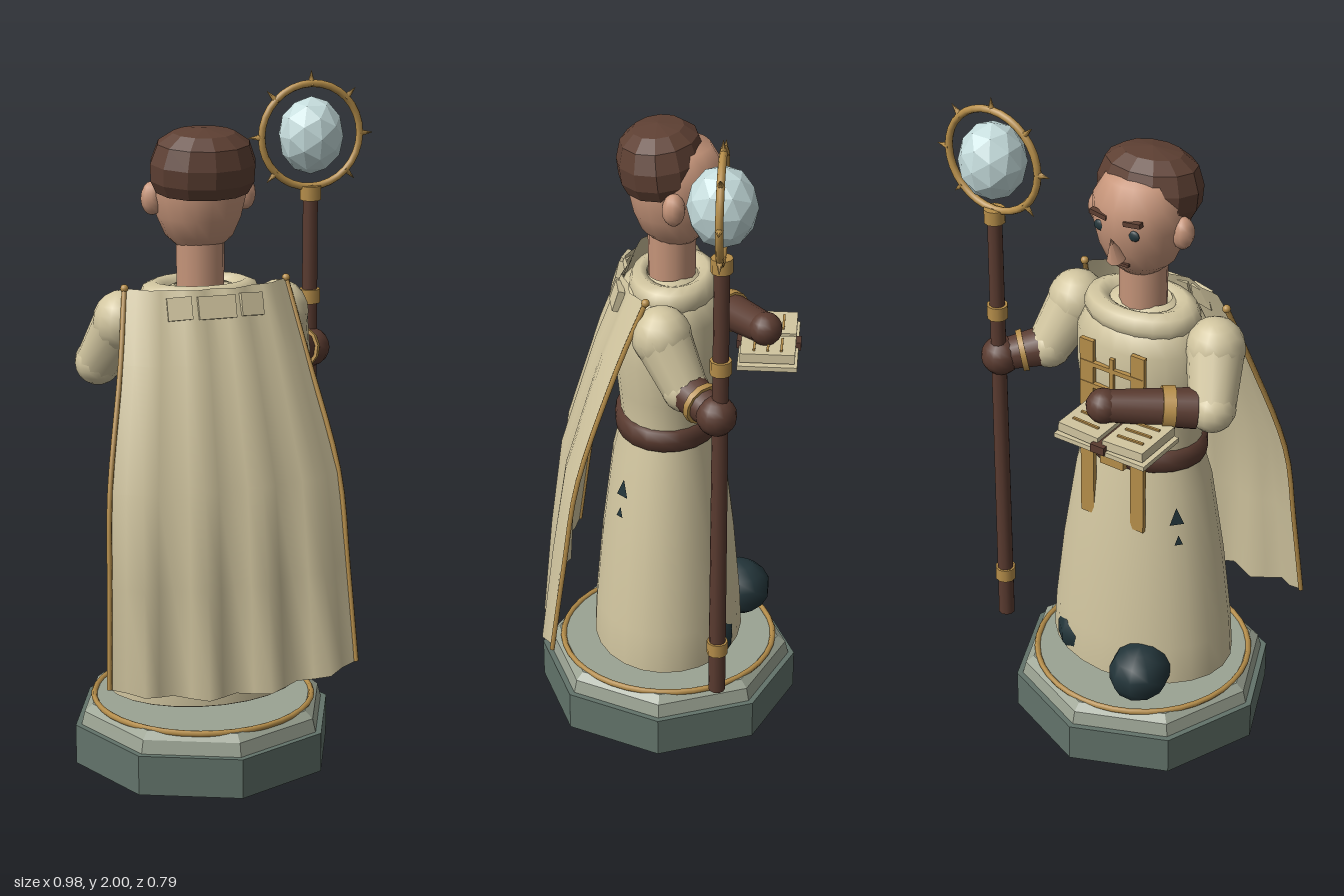
import * as THREE from 'three';

const mat = (name, color, extra = {}) => {
  const m = new THREE.MeshStandardMaterial({ color, ...extra });
  m.name = name;
  return m;
};

export function createModel() {
  const flat = { flatShading: true };
  const cloth = mat('cream cloth', 0xd2c6a0, { side: THREE.DoubleSide });
  const leather = mat('brown leather', 0x5a3b30);
  const hairMat = mat('brown hair', 0x5e4033, flat);
  const gold = mat('gold', 0xb68e4a);
  const skin = mat('skin', 0xc6957a);
  const dark = mat('dark teal', 0x23353a, { side: THREE.DoubleSide });
  const stoneDark = mat('dark stone', 0x62736a, flat);
  const stoneLight = mat('light stone', 0x9ba393, flat);
  const glass = mat('pale orb', 0xc5dcdc, flat);

  const model = new THREE.Group();
  const figure = new THREE.Group();
  figure.name = 'figure';
  figure.position.x = -0.1;
  model.add(figure);

  const add = (name, geo, m, x = 0, y = 0, z = 0, parent = figure) => {
    const mesh = new THREE.Mesh(geo, m);
    mesh.name = name;
    mesh.position.set(x, y, z);
    parent.add(mesh);
    return mesh;
  };
  const lathe = (pts, n) => new THREE.LatheGeometry(pts.map(p => new THREE.Vector2(...p)), n);
  const ball = (name, m, r, x, y, z, sx = 1, sy = 1, sz = 1, w = 14, h = 10) => {
    const b = add(name, new THREE.SphereGeometry(r, w, h), m, x, y, z);
    b.scale.set(sx, sy, sz);
    return b;
  };
  // Tapered cylinder from point a to point b
  const limb = (name, m, a, b, ra, rb, n = 12) => {
    const A = new THREE.Vector3(...a), B = new THREE.Vector3(...b);
    const d = B.clone().sub(A);
    const mesh = add(name, new THREE.CylinderGeometry(rb, ra, d.length(), n), m);
    mesh.position.copy(A).lerp(B, 0.5);
    mesh.quaternion.setFromUnitVectors(new THREE.Vector3(0, 1, 0), d.normalize());
    return mesh;
  };
  const mix = (a, b, t) => a.map((v, i) => v + (b[i] - v) * t);

  // Octagonal plinth with inlaid ring
  add('plinth', new THREE.CylinderGeometry(0.393, 0.393, 0.12, 8), stoneDark, 0, 0.06, 0);
  add('plinthStep', new THREE.CylinderGeometry(0.365, 0.375, 0.04, 8), stoneLight, 0, 0.14, 0);
  add('plinthTop', new THREE.CylinderGeometry(0.34, 0.365, 0.02, 8), stoneLight, 0, 0.17, 0);
  add('plinthRing', new THREE.TorusGeometry(0.325, 0.009, 6, 40), gold, 0, 0.179, 0).rotation.x = Math.PI / 2;

  // Shoes, one stepping forward
  ball('leftShoe', dark, 0.09, -0.13, 0.275, -0.21, 1, 1, 1.12, 10, 7);
  ball('rightShoe', dark, 0.09, 0.13, 0.27, -0.1, 1, 1, 1.25, 10, 7);

  // Robe and belt
  const robe = add('robe', lathe([[0, 0.22], [0.28, 0.22], [0.29, 0.225], [0.282, 0.35], [0.255, 0.58], [0.212, 0.85],
    [0.182, 0.95], [0.18, 1.0], [0.19, 1.08], [0.207, 1.2], [0.205, 1.32], [0.17, 1.39], [0.08, 1.43]], 24), cloth);
  robe.scale.z = 0.78;
  const belt = add('belt', lathe([[0.175, 0.93], [0.193, 0.935], [0.198, 0.965], [0.193, 0.995], [0.175, 1.0]], 20), leather);
  belt.scale.z = 0.8;
  add('buckle', new THREE.BoxGeometry(0.08, 0.055, 0.02), gold, 0, 0.965, -0.16);
  const collar = add('collar', new THREE.TorusGeometry(0.135, 0.045, 8, 20), cloth, 0, 1.395, -0.015);
  collar.rotation.x = Math.PI / 2;
  collar.scale.y = 0.72;

  // Torn patches in the skirt
  for (const s of [1, -1]) for (const [y, h, k] of [[0.8, 0.06, 1.03], [0.73, 0.035, 1.1]]) {
    const tear = add('robeTear', new THREE.CircleGeometry(h * 0.6, 3), dark, s * 0.187 * k, y, s * 0.115 * k);
    tear.rotation.order = 'YXZ';
    tear.rotation.set(-0.15, Math.atan2(s * 0.19, s * 0.17), Math.PI / 2);
    tear.scale.y = 0.7;
  }

  // Hanging gold bands joined by cross strips
  for (const s of [-1, 1]) add('goldBand', new THREE.BoxGeometry(0.045, 0.59, 0.014), gold, s * 0.086, 1.04, -0.161);
  for (const y of [1.26, 1.19]) add('crossStrip', new THREE.BoxGeometry(0.21, 0.014, 0.014), gold, 0, y, -0.163);
  add('centreStrip', new THREE.BoxGeometry(0.014, 0.15, 0.012), gold, 0, 1.225, -0.165);

  // Head
  add('neck', new THREE.CylinderGeometry(0.07, 0.068, 0.2, 14), skin, 0, 1.5, -0.01);
  add('head', lathe([[0, 1.53], [0.06, 1.535], [0.098, 1.57], [0.122, 1.625], [0.137, 1.69], [0.135, 1.76], [0.1, 1.82], [0, 1.85]], 18),
    skin, 0, 0, -0.02);
  const hair = add('hair', lathe([[0.001, -0.07], [0.135, -0.07], [0.153, -0.035], [0.155, 0.015], [0.135, 0.07], [0.09, 0.1], [0.001, 0.112]], 12),
    hairMat, 0, 1.77, 0.02);
  hair.scale.z = 0.82;
  hair.rotation.x = 0.1;
  const nose = add('nose', new THREE.ConeGeometry(0.028, 0.08, 8), skin, 0, 1.65, -0.158);
  nose.rotation.x = -0.35;
  for (const s of [-1, 1]) {
    ball('ear', skin, 0.042, s * 0.137, 1.68, -0.025, 0.8, 1.15, 0.8, 10, 8);
    ball('eye', dark, 0.02, s * 0.055, 1.698, -0.143, 1, 0.8, 0.4, 10, 6);
    const brow = add('brow', new THREE.BoxGeometry(0.055, 0.014, 0.018), hairMat, s * 0.055, 1.735, -0.146);
    brow.rotation.z = s * 0.15;
  }
  add('mouth', new THREE.BoxGeometry(0.06, 0.009, 0.012), hairMat, 0, 1.59, -0.127);

  // Arms: puffed sleeve, glove and gold cuff
  const arm = (side, shoulder, elbow, hand, cuffAt) => {
    ball(side + 'Shoulder', cloth, 0.086, ...shoulder, 1, 1.05, 1);
    limb(side + 'Sleeve', cloth, shoulder, elbow, 0.084, 0.066);
    ball(side + 'Elbow', cloth, 0.068, ...elbow);
    limb(side + 'Glove', leather, mix(elbow, hand, 0.15), hand, 0.06, 0.046);
    limb(side + 'Cuff', gold, mix(elbow, hand, cuffAt), mix(elbow, hand, cuffAt + 0.12), 0.064, 0.062);
    ball(side + 'Hand', leather, 0.05, ...hand);
  };
  arm('left', [-0.235, 1.335, 0], [-0.285, 1.2, -0.09], [-0.05, 1.225, -0.28], 0.35);
  arm('right', [0.235, 1.335, 0], [0.285, 1.2, -0.07], [0.39, 1.175, -0.165], 0.5);
  ball('rightFist', leather, 0.058, 0.39, 1.175, -0.165);

  // Open book with gold writing lines
  const book = new THREE.Group();
  book.name = 'book';
  book.position.set(-0.1, 1.16, -0.29);
  figure.add(book);
  add('spine', new THREE.BoxGeometry(0.045, 0.025, 0.19), leather, 0, -0.005, 0, book);
  for (const s of [-1, 1]) {
    add('cover', new THREE.BoxGeometry(0.145, 0.014, 0.175), cloth, s * 0.077, -0.016, 0, book);
    const page = add('pages', new THREE.BoxGeometry(0.132, 0.028, 0.16), cloth, s * 0.074, 0.01, 0, book);
    page.rotation.z = s * 0.04;
    for (const z of [-0.04, 0, 0.04])
      add('writingLine', new THREE.BoxGeometry(0.085, 0.006, 0.007), gold, s * 0.074, 0.026, z, book).rotation.z = s * 0.04;
  }

  // Pleated cape: rows of [half width, centre y, edge y, centre z, edge z, pleat depth]
  const rows = [[0.24, 1.44, 1.44, 0.125, 0.045, 0.008], [0.275, 1.24, 1.24, 0.2, 0.125, 0.008],
    [0.34, 0.9, 0.9, 0.302, 0.235, 0.009], [0.355, 0.62, 0.64, 0.33, 0.275, 0.016], [0.37, 0.3, 0.35, 0.352, 0.315, 0.023]];
  const cols = 16;
  const capePoint = (r, c) => {
    const u = c / cols * 2 - 1, [w, yc, ye, zc, ze, p] = rows[r];
    const k = Math.pow(Math.abs(u), 2.5);
    const fold = Math.abs(u) === 1 ? 0 : -Math.cos(u * Math.PI * 4) * p;
    return new THREE.Vector3(u * w, yc + (ye - yc) * u * u, zc + (ze - zc) * k + fold);
  };
  const pos = [], idx = [];
  rows.forEach((_, r) => {
    for (let c = 0; c <= cols; c++) {
      pos.push(...capePoint(r, c).toArray());
      if (r && c) {
        const i = r * (cols + 1) + c, up = i - cols - 1;
        idx.push(up - 1, i - 1, i, up - 1, i, up);
      }
    }
  });
  const capeGeo = new THREE.BufferGeometry();
  capeGeo.setAttribute('position', new THREE.Float32BufferAttribute(pos, 3));
  capeGeo.setIndex(idx);
  capeGeo.computeVertexNormals();
  add('cape', capeGeo, cloth);

  // Cape trim, clasps and back collar tabs
  for (const c of [0, cols]) {
    const edge = new THREE.CatmullRomCurve3(rows.map((_, r) => capePoint(r, c)));
    add('capeTrim', new THREE.TubeGeometry(edge, 16, 0.008, 6), gold);
    ball('capeClasp', gold, 0.012, ...capePoint(0, c).toArray());
  }
  for (const [x, w] of [[-0.105, 0.07], [0, 0.11], [0.105, 0.07]]) {
    const tab = add('collarTab', new THREE.BoxGeometry(w, 0.065, 0.02), cloth, x, 1.392, 0.148 - Math.abs(x) * 0.1);
    tab.rotation.set(-0.3, x * 2, 0);
  }

  // Staff with ringed orb
  const staff = new THREE.Group();
  staff.name = 'staff';
  staff.position.set(0.29, 0, -0.175);
  model.add(staff);
  add('staffShaft', new THREE.CylinderGeometry(0.022, 0.025, 1.39, 10), leather, 0, 0.945, 0, staff);
  for (const y of [0.4, 1.33, 1.64])
    add('staffCollar', new THREE.CylinderGeometry(0.031, 0.031, 0.042, 10), gold, 0, y, 0, staff);
  add('orb', new THREE.IcosahedronGeometry(0.097, 1), glass, 0, 1.81, 0, staff).scale.y = 1.18;
  add('orbRing', new THREE.TorusGeometry(0.152, 0.011, 8, 32), gold, 0, 1.81, 0, staff);
  for (let i = 0; i < 8; i++) {
    const a = i * Math.PI / 4;
    const spike = add('ringSpike', new THREE.ConeGeometry(0.012, 0.045, 6), gold,
      Math.cos(a) * 0.172, 1.81 + Math.sin(a) * 0.1695, 0, staff);
    spike.rotation.z = a - Math.PI / 2;
  }
  return model;
}
